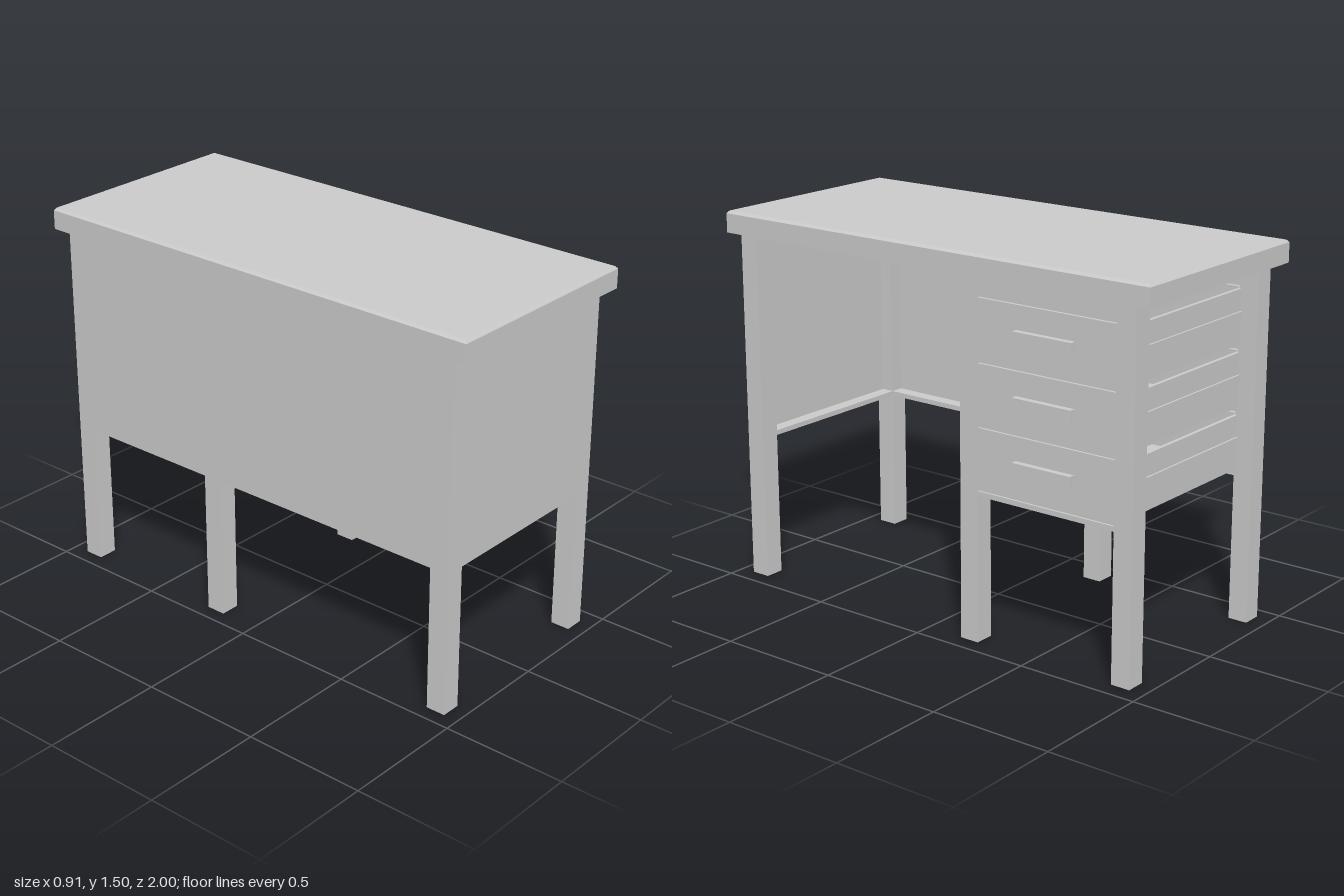
import * as THREE from 'three';

export function createModel() {
  const desk = new THREE.Group();
  desk.name = 'desk';
  const material = new THREE.MeshStandardMaterial({ color: 0xcccccc, flatShading: true });

  const add = (name, geometry, parent = desk) => {
    const mesh = new THREE.Mesh(geometry, material);
    mesh.name = name;
    parent.add(mesh);
    return mesh;
  };
  // Box given by its minimum and maximum on each axis
  const box = (name, [x0, x1], [y0, y1], [z0, z1], parent) => {
    const g = new THREE.BoxGeometry(x1 - x0, y1 - y0, z1 - z0);
    g.translate((x0 + x1) / 2, (y0 + y1) / 2, (z0 + z1) / 2);
    return add(name, g, parent);
  };

  const BACK = -0.44, FRONT = 0.43, LEG = 0.08;
  const UNDER = 0.585, RAIL = 0.605, TOP = 1.415;
  const legZ = [0.86, -0.24, -0.935];

  // Table top: slab with a chamfered upper edge
  box('tableTop', [-0.457, 0.448], [TOP, 1.492], [-1, 1]);
  const bevel = new THREE.BoxGeometry(0.905, 0.01, 2);
  const p = bevel.attributes.position;
  for (let i = 0; i < p.count; i++) {
    if (p.getY(i) > 0) {
      p.setX(i, p.getX(i) - Math.sign(p.getX(i)) * 0.01);
      p.setZ(i, p.getZ(i) - Math.sign(p.getZ(i)) * 0.008);
    }
  }
  bevel.computeVertexNormals();
  bevel.translate(-0.0045, 1.497, 0);
  add('tableTopBevel', bevel);

  // Six square legs
  for (const z of legZ) {
    for (const x of [BACK, FRONT - LEG]) {
      box('leg', [x, x + LEG], [0, TOP], [z, z + LEG]);
    }
  }

  // Panels flush with the outer faces of the legs
  const inX = [BACK + LEG, FRONT - LEG];
  box('endPanel', inX, [UNDER, TOP], [0.915, 0.94]);
  box('pedestalSidePanel', inX, [UNDER, TOP], [-0.185, -0.16]);
  box('longPanel', [BACK, BACK + 0.025], [UNDER, TOP], [-0.16, 0.86]);
  box('pedestalLongPanel', [BACK, BACK + 0.025], [UNDER, TOP], [-0.855, -0.24]);

  // Leg-wide rails along the lower edges of the panels
  box('endRail', inX, [UNDER, RAIL], [0.86, 0.93]);
  box('pedestalSideRail', inX, [UNDER, RAIL], [-0.24, -0.17]);
  box('longRail', [BACK + 0.01, BACK + LEG], [UNDER, RAIL], [-0.16, 0.86]);
  box('pedestalLongRail', [BACK + 0.01, BACK + LEG], [UNDER, RAIL], [-0.855, -0.24]);
  box('drawerLowerRail', [FRONT - LEG, FRONT], [UNDER, RAIL], [-0.855, -0.24]);
  box('drawerUpperRail', [FRONT - 0.03, FRONT], [1.344, TOP], [-0.855, -0.24]);

  // Pull with a sloping underside
  const profile = new THREE.Shape();
  profile.moveTo(0, 0);
  profile.lineTo(0, -0.025);
  profile.lineTo(0.025, -0.06);
  profile.lineTo(0.025, 0);
  profile.closePath();
  const pullGeometry = new THREE.ExtrudeGeometry(profile, { depth: 0.26, bevelEnabled: false });

  // Three drawers: front, tray, runner and pull
  for (let i = 0; i < 3; i++) {
    const y = 0.609 + i * 0.245;
    const drawer = new THREE.Group();
    drawer.name = 'drawer';
    desk.add(drawer);
    box('drawerFront', [0.4, FRONT], [y, y + 0.241], [-0.855, -0.244], drawer);
    box('drawerBottom', [-0.4, 0.4], [y, y + 0.015], [-0.86, -0.25], drawer);
    box('drawerBack', [-0.4, -0.385], [y + 0.015, y + 0.215], [-0.845, -0.265], drawer);
    for (const z of [-0.86, -0.265]) {
      box('drawerSide', [-0.4, 0.4], [y + 0.015, y + 0.215], [z, z + 0.015], drawer);
    }
    box('drawerRunner', inX, [y + 0.1, y + 0.13], [-0.868, -0.858], drawer);
    const pull = add('drawerPull', pullGeometry, drawer);
    pull.position.set(FRONT, 0.758 + i * 0.245, -0.68);
  }

  return desk;
}
